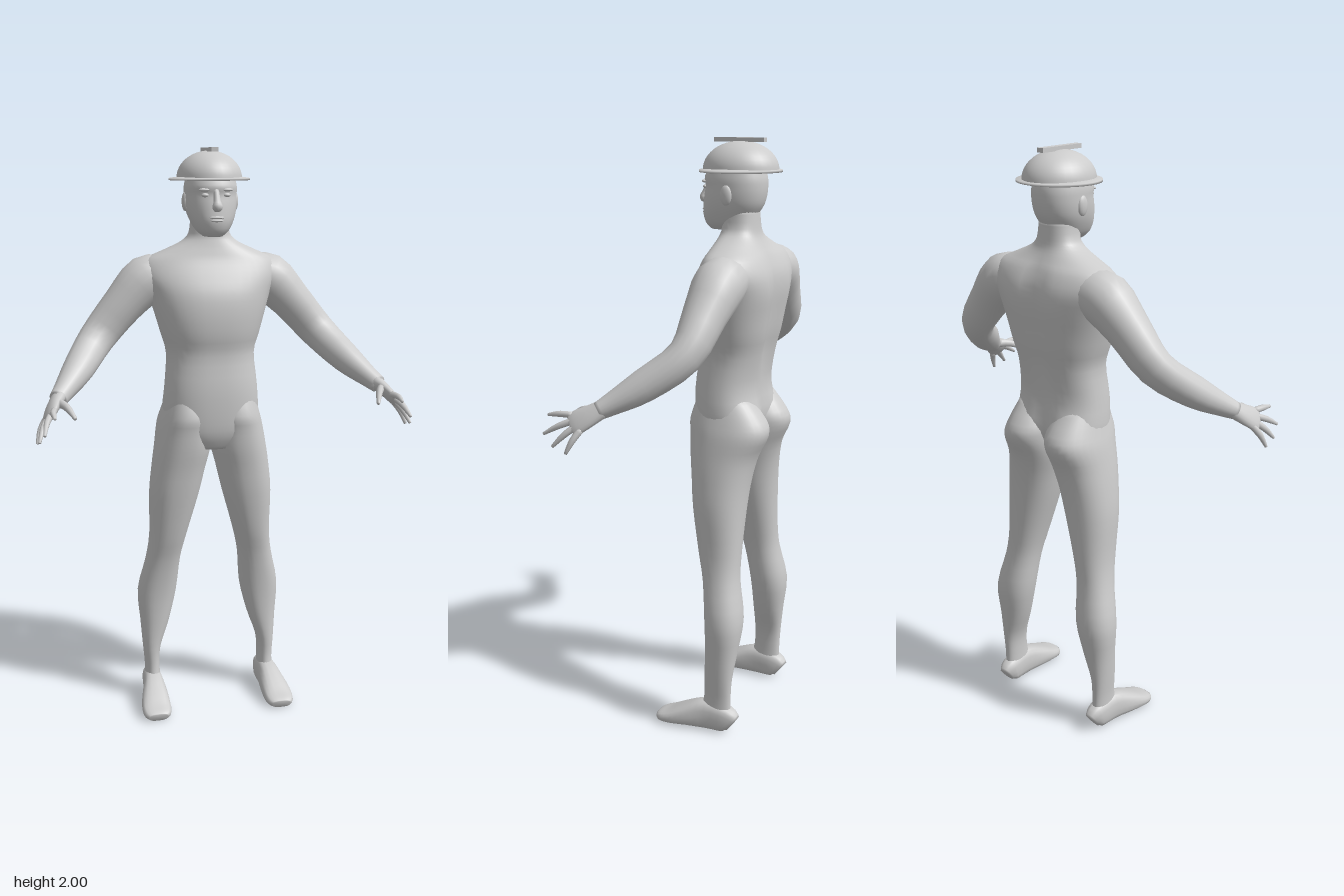
import * as THREE from 'three';

const grey = new THREE.MeshStandardMaterial({ color: 0xcccccc });
grey.name = 'plain grey';

// Smoothly resample a table of section rows (Catmull-Rom on every column)
function resample(rows, k = 3) {
  const out = [];
  const at = (i) => rows[Math.max(0, Math.min(rows.length - 1, i))];
  for (let i = 0; i < rows.length - 1; i++) {
    for (let s = 0; s < k; s++) {
      const t = s / k;
      out.push(rows[i].map((p1, c) => {
        const p0 = at(i - 1)[c], p2 = at(i + 1)[c], p3 = at(i + 2)[c];
        return p1 + 0.5 * t * (p2 - p0 + t * (2 * p0 - 5 * p1 + 4 * p2 - p3 + t * (3 * (p1 - p2) + p3 - p0)));
      }));
    }
  }
  out.push(rows[rows.length - 1]);
  return out;
}

// Closed smooth skin over rings of equal point count
function skin(rings) {
  const n = rings[0].length, pos = [], idx = [];
  rings.forEach((r) => r.forEach((p) => pos.push(p.x, p.y, p.z)));
  for (let i = 0; i < rings.length - 1; i++) {
    for (let j = 0; j < n; j++) {
      const a = i * n + j, b = i * n + ((j + 1) % n);
      idx.push(a, b, a + n, b, b + n, a + n);
    }
  }
  [0, rings.length - 1].forEach((i) => {
    const c = new THREE.Vector3();
    rings[i].forEach((p) => c.addScaledVector(p, 1 / n));
    const ci = pos.length / 3;
    pos.push(c.x, c.y, c.z);
    for (let j = 0; j < n; j++) {
      const a = i * n + j, b = i * n + ((j + 1) % n);
      if (i === 0) idx.push(ci, b, a);
      else idx.push(ci, a, b);
    }
  });
  const g = new THREE.BufferGeometry();
  g.setAttribute('position', new THREE.Float32BufferAttribute(pos, 3));
  g.setIndex(idx);
  g.computeVertexNormals();
  return g;
}

const power = (v, e) => Math.sign(v) * Math.abs(v) ** e;
function ellipse(n, e, place) {
  return Array.from({ length: n }, (_, j) => {
    const a = (j / n) * Math.PI * 2;
    return place(power(Math.cos(a), e), power(Math.sin(a), e));
  });
}

// Level sections, top to bottom: [y, xMin, xMax, zFront, zBack, spineGroove]
function stack(rows, e = 0.9, n = 32) {
  return skin(resample(rows).map(([y, x0, x1, zf, zb, groove = 0]) => ellipse(n, e, (c, s) => {
    const x = (x0 + x1) / 2 + (c * (x1 - x0)) / 2;
    let z = (zf + zb) / 2 + (s * (zf - zb)) / 2;
    if (s < 0) z += groove * Math.exp(-((x / 0.04) ** 2));
    return new THREE.Vector3(x, y, z);
  })));
}

// Sections across a path: [x, y, z, halfWidth along ref, halfDepth]
function limb(rows, ref, e = 1, n = 18, k = 3) {
  const rs = resample(rows, k), pts = rs.map((r) => new THREE.Vector3(r[0], r[1], r[2]));
  return skin(rs.map((r, i) => {
    const t = pts[Math.min(i + 1, pts.length - 1)].clone().sub(pts[Math.max(i - 1, 0)]).normalize();
    const v = t.clone().cross(ref).normalize(), u = v.clone().cross(t);
    return ellipse(n, e, (c, s) => pts[i].clone().addScaledVector(u, c * r[3]).addScaledVector(v, s * r[4]));
  }));
}

function mirrored(geo) {
  const g = geo.clone().scale(-1, 1, 1), ix = g.index.array;
  for (let i = 0; i < ix.length; i += 3) [ix[i], ix[i + 1]] = [ix[i + 1], ix[i]];
  g.computeVertexNormals();
  return g;
}

export function createModel() {
  const model = new THREE.Group();
  model.name = 'helmetedFigure';
  const X = new THREE.Vector3(1, 0, 0);
  const add = (name, geo) => {
    const m = new THREE.Mesh(geo, grey);
    m.name = name;
    model.add(m);
  };
  const pair = (name, geo) => {
    add('left' + name, geo);
    add('right' + name, mirrored(geo));
  };

  // Neck, chest, waist and pelvis
  add('torso', stack([
    [1.78, 0.064, -0.06, -0.18, 0], [1.72, 0.07, -0.065, -0.185, 0],
    [1.69, 0.1, -0.06, -0.192, 0], [1.66, 0.165, -0.052, -0.212, 0.005],
    [1.63, 0.225, -0.042, -0.237, 0.015], [1.58, 0.24, -0.018, -0.26, 0.02],
    [1.52, 0.214, 0.006, -0.266, 0.025], [1.45, 0.192, 0.015, -0.256, 0.025],
    [1.38, 0.172, 0.012, -0.245, 0.025], [1.31, 0.154, 0, -0.228, 0.022],
    [1.2, 0.163, 0.01, -0.212, 0.012], [1.1, 0.17, 0.01, -0.235, 0.03],
    [1.03, 0.15, 0.002, -0.215, 0.03], [0.98, 0.08, -0.02, -0.17, 0],
  ].map(([y, w, f, b, g]) => [y, -w, w, f, b, g]), 0.85, 40));

  // Legs with hips and calves
  pair('Leg', stack([
    [1.18, 0.03, 0.15, -0.02, -0.19], [1.1, 0.002, 0.174, 0.009, -0.254],
    [1.05, 0, 0.188, 0.006, -0.265], [0.98, 0.002, 0.2, 0, -0.233],
    [0.9, 0.022, 0.212, -0.012, -0.215], [0.8, 0.046, 0.222, -0.025, -0.205],
    [0.65, 0.088, 0.222, -0.052, -0.2], [0.55, 0.11, 0.235, -0.077, -0.203],
    [0.42, 0.123, 0.264, -0.095, -0.225], [0.3, 0.152, 0.257, -0.1, -0.212],
    [0.2, 0.186, 0.25, -0.1, -0.2], [0.12, 0.191, 0.244, -0.098, -0.196],
    [0.05, 0.188, 0.246, -0.08, -0.198],
  ]));

  // Feet, heel to toe
  pair('Foot', limb([
    [0.215, 0.035, -0.205, 0.02, 0.035], [0.217, 0.048, -0.18, 0.033, 0.048],
    [0.22, 0.054, -0.11, 0.037, 0.054], [0.225, 0.04, -0.04, 0.048, 0.04],
    [0.229, 0.025, 0.02, 0.053, 0.025], [0.23, 0.018, 0.055, 0.047, 0.018],
    [0.23, 0.014, 0.07, 0.034, 0.014],
  ], X, 0.75));

  // Arms, shoulder to wrist
  pair('Arm', limb([
    [0.14, 1.58, -0.155, 0.06, 0.07], [0.215, 1.562, -0.15, 0.084, 0.085],
    [0.3, 1.48, -0.14, 0.071, 0.07], [0.395, 1.37, -0.12, 0.062, 0.054],
    [0.47, 1.285, -0.02, 0.052, 0.052], [0.525, 1.232, 0.06, 0.036, 0.036],
    [0.55, 1.21, 0.095, 0.03, 0.027],
  ], new THREE.Vector3(1, 1, 0)));

  // Hands: palm, four fingers and thumb
  const across = new THREE.Vector3(-0.39, 0.58, 0.71);
  pair('Palm', limb([
    [0.54, 1.22, 0.08, 0.028, 0.025], [0.565, 1.195, 0.12, 0.036, 0.02],
    [0.58, 1.175, 0.155, 0.041, 0.016], [0.587, 1.165, 0.172, 0.034, 0.011],
  ], across));
  const tips = [[0.572, 1.185, 0.262], [0.605, 1.132, 0.26], [0.62, 1.1, 0.22], [0.625, 1.085, 0.17]];
  const knuckle = new THREE.Vector3(0.58, 1.175, 0.155);
  tips.forEach(([x, y, z], i) => {
    const k = knuckle.clone().addScaledVector(across, 0.03 - i * 0.02);
    pair('Finger' + (i + 1), limb([
      [k.x, k.y, k.z, 0.011, 0.011],
      [(k.x + x) / 2 + 0.004, (k.y + y) / 2 + 0.004, (k.z + z) / 2, 0.01, 0.01],
      [x, y, z, 0.005, 0.005],
    ], across, 1, 8));
  });
  pair('Thumb', limb([
    [0.555, 1.205, 0.115, 0.016, 0.014], [0.528, 1.2, 0.165, 0.013, 0.012],
    [0.505, 1.172, 0.218, 0.006, 0.006],
  ], across, 1, 8));

  // Head with jaw
  add('head', stack([
    [1.93, 0.075, -0.03, -0.19], [1.88, 0.087, -0.003, -0.205],
    [1.85, 0.088, -0.006, -0.207], [1.82, 0.087, -0.001, -0.204],
    [1.79, 0.082, 0.003, -0.195], [1.76, 0.071, 0.005, -0.175],
    [1.73, 0.054, -0.003, -0.15], [1.712, 0.032, -0.02, -0.12],
  ].map(([y, w, f, b]) => [y, -w, w, f, b]), 0.9));

  // Face details
  add('nose', limb([
    [0, 1.865, -0.01, 0.009, 0.008], [0, 1.83, 0.004, 0.012, 0.011],
    [0, 1.81, 0.01, 0.018, 0.015], [0, 1.8, 0.002, 0.012, 0.008],
  ], X, 1, 12));
  const blob = (x, y, z, a, b, c) => new THREE.SphereGeometry(1, 14, 10).scale(a, b, c).translate(x, y, z);
  add('upperLip', blob(0, 1.776, 0.002, 0.026, 0.005, 0.008));
  add('lowerLip', blob(0, 1.766, 0.002, 0.022, 0.005, 0.008));
  pair('Eye', blob(0.036, 1.848, -0.014, 0.013, 0.007, 0.009));
  pair('Brow', blob(0.036, 1.865, -0.015, 0.022, 0.006, 0.012));
  pair('Ear', blob(0.086, 1.825, -0.108, 0.011, 0.032, 0.02));

  // Helmet: dome, brim and flat crest
  const dome = Array.from({ length: 13 }, (_, i) => {
    const a = (i / 12) * Math.PI / 2;
    return new THREE.Vector2(Math.max(Math.cos(a), 0.0001), Math.sin(a));
  });
  add('helmetDome', new THREE.LatheGeometry(dome, 32).scale(0.11, 0.09, 0.125).translate(0, 1.9, -0.12));
  const brim = [[0.55, -0.003], [1, -0.006], [1, 0.001], [0.75, 0.006]].map(([x, y]) => new THREE.Vector2(x, y));
  add('helmetBrim', new THREE.LatheGeometry(brim, 32).scale(0.137, 1, 0.134).translate(0, 1.9, -0.12));
  add('helmetCrest', new THREE.BoxGeometry(0.024, 0.014, 0.174).translate(0, 1.993, -0.117));
  return model;
}
